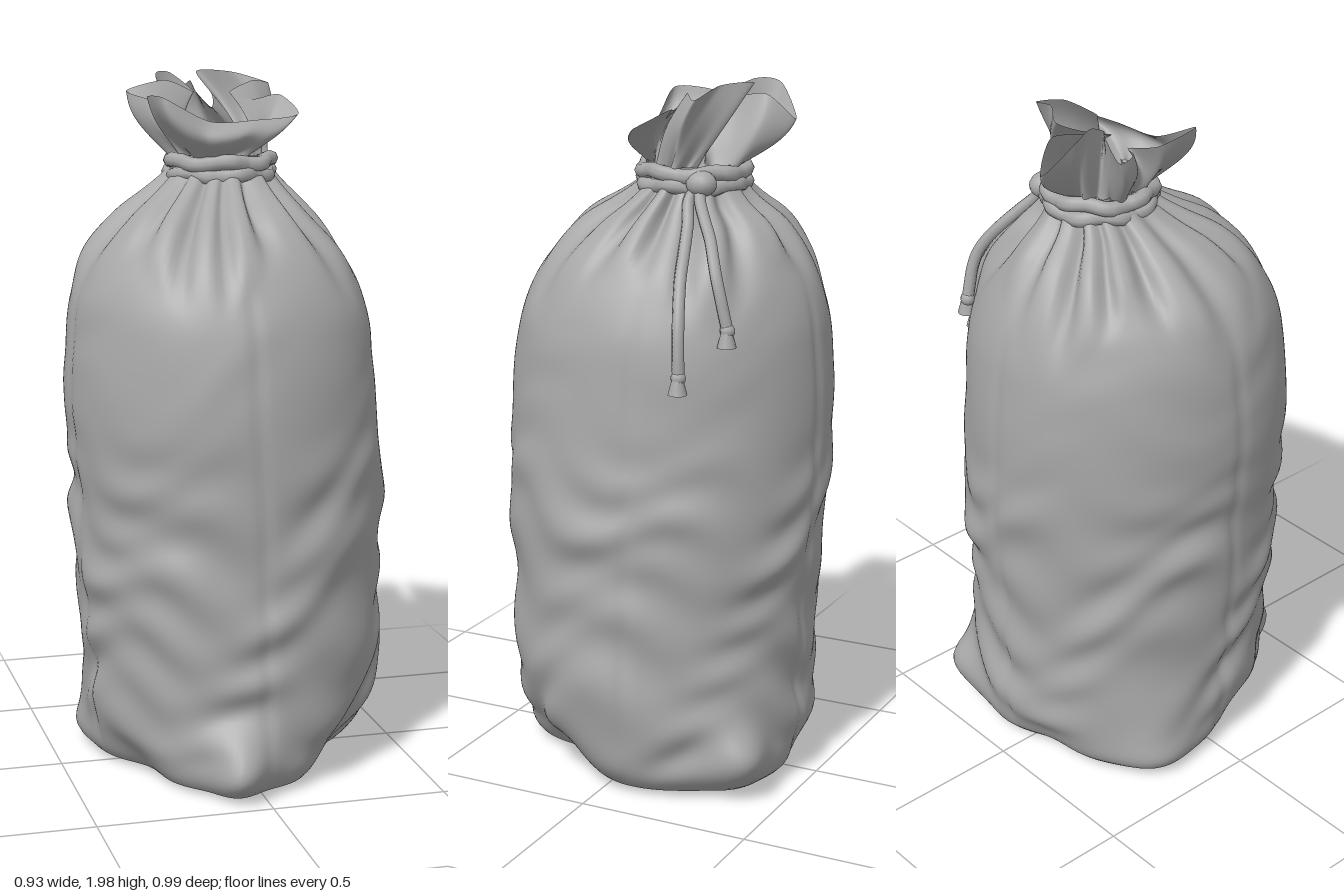
import * as THREE from 'three';

const cloth = new THREE.MeshStandardMaterial({ color: 0xa8a8a8, side: THREE.DoubleSide });
cloth.name = 'grey cloth';

// sack outline: y, xMin, xMax, zMin, zMax
const ROWS = [
  [0, -0.33, 0.33, -0.38, 0.36], [0.02, -0.385, 0.39, -0.435, 0.40], [0.09, -0.41, 0.435, -0.46, 0.42],
  [0.3, -0.415, 0.45, -0.455, 0.42], [0.5, -0.43, 0.45, -0.465, 0.425], [0.8, -0.445, 0.45, -0.485, 0.435],
  [1.1, -0.463, 0.43, -0.488, 0.44], [1.3, -0.45, 0.41, -0.475, 0.415], [1.4, -0.43, 0.38, -0.45, 0.38],
  [1.5, -0.38, 0.325, -0.405, 0.315], [1.6, -0.28, 0.23, -0.335, 0.21], [1.66, -0.2, 0.18, -0.27, 0.11],
  [1.72, -0.135, 0.145, -0.235, 0.035], [1.76, -0.125, 0.135, -0.225, 0.025],
];
// bottom corners pulled out and sides drawn in: angle, height, reach, angular width, vertical spread
const CORNERS = [
  [-0.2, 0.08, 0.09, 0.17, 0.09], [2.48, 0.13, 0.08, 0.2, 0.1], [-2.03, 0.06, 0.05, 0.25, 0.09],
  [0.95, 0, -0.14, 0.5, 0.16], [-1.1, 0, -0.08, 0.38, 0.14], [-2.9, 0, -0.06, 0.35, 0.12],
];
const SEAMS = [-0.02, 1.75, 3.1, -1.5];

const smooth = THREE.MathUtils.smoothstep;
const bump = (d, w) => Math.exp(-(d * d) / (w * w));
const turn = (d) => Math.atan2(Math.sin(d), Math.cos(d));

function outline(y) {
  let i = 0;
  while (i < ROWS.length - 2 && y > ROWS[i + 1][0]) i++;
  const a = ROWS[Math.max(i - 1, 0)], b = ROWS[i], c = ROWS[i + 1], d = ROWS[Math.min(i + 2, ROWS.length - 1)];
  const h = c[0] - b[0], t = THREE.MathUtils.clamp((y - b[0]) / h, 0, 1);
  return [1, 2, 3, 4].map((k) => {
    const m0 = (c[k] - a[k]) / (c[0] - a[0]) * h, m1 = (d[k] - b[k]) / (d[0] - b[0]) * h;
    return b[k] * (2 * t ** 3 - 3 * t * t + 1) + m0 * (t ** 3 - 2 * t * t + t)
      + c[k] * (3 * t * t - 2 * t ** 3) + m1 * (t ** 3 - t * t);
  });
}

// point on the sack; angle 0 is the front and grows towards +x
function sackPoint(a, y, lift = 0) {
  const [x0, x1, z0, z1] = outline(y);
  // gathered pleats below the neck, with narrow valleys
  const wave = Math.sin(14 * a + 1.5 * Math.sin(3 * a + 1));
  const fold = 0.65 - 1.5 * ((1 - wave) / 2) ** 2 + 0.3 * Math.sin(8 * a + 2);
  const reach = 1.4 + 0.08 * Math.sin(5 * a);
  let r = lift + fold * 0.033 * smooth(y, reach, 1.6) * (1 - 0.65 * smooth(y, 1.62, 1.72));
  // slanted creases in the lower half
  const low = smooth(y, 0.02, 0.15) * (1 - 0.85 * smooth(y, 0.8, 1.1));
  const warp = 1.6 * Math.sin(2 * a + 3 * y) + Math.sin(5 * a - 7 * y);
  r += 0.01 * low * (Math.sin(19 * y + 2 * a + warp) * Math.sin(3 * a + 9 * y)
    + 0.7 * Math.sin(29 * y - 3 * a + 1.5 * warp) * Math.sin(2 * a - 7 * y + 1));
  // sewn seams
  for (const s of SEAMS) r -= 0.006 * bump(turn(a - s), 0.04) * smooth(y, 0, 0.1) * (1 - smooth(y, 1.3, 1.5));
  for (const [ca, cy, d, w, h] of CORNERS) r += d * bump(turn(a - ca), w) * bump(y - cy, h);
  return new THREE.Vector3(
    (x0 + x1) / 2 + ((x1 - x0) / 2 + r) * Math.sin(a), y,
    (z0 + z1) / 2 + ((z1 - z0) / 2 + r) * Math.cos(a));
}

// skin over closed rings, rows running upwards, with a fan closing the first ring
function loft(rows, cols, point, capCentre) {
  const pos = [], idx = [];
  for (let j = 0; j <= rows; j++) for (let i = 0; i < cols; i++) pos.push(...point(i / cols, j / rows).toArray());
  for (let j = 0; j < rows; j++) for (let i = 0; i < cols; i++) {
    const k = (i + 1) % cols, a = j * cols + i, b = j * cols + k;
    idx.push(a, b, b + cols, a, b + cols, a + cols);
  }
  const n = pos.length / 3;
  pos.push(...capCentre);
  for (let i = 0; i < cols; i++) idx.push(n, (i + 1) % cols, i);
  const g = new THREE.BufferGeometry();
  g.setAttribute('position', new THREE.Float32BufferAttribute(pos, 3));
  g.setIndex(idx);
  g.computeVertexNormals();
  return g;
}

// ruffled rim of the open mouth, folded in towards the middle
const RIM = new THREE.CatmullRomCurve3([
  [-0.2, 1.93, 0.06], [-0.06, 1.86, 0.045], [0.08, 1.86, 0.025], [0.215, 1.87, -0.02], [0.185, 1.92, -0.11],
  [0.1, 1.91, -0.085], [0.03, 1.93, -0.085], [0.11, 1.96, -0.13], [0.17, 1.95, -0.18], [0.07, 1.98, -0.21],
  [-0.02, 1.98, -0.27], [0, 1.92, -0.17], [-0.025, 1.89, -0.08], [-0.045, 1.93, -0.19], [-0.035, 1.95, -0.3],
  [-0.08, 1.88, -0.37], [-0.135, 1.97, -0.3], [-0.11, 1.98, -0.23], [-0.06, 1.93, -0.14], [-0.13, 1.96, -0.2],
  [-0.235, 1.93, -0.24], [-0.19, 1.91, -0.15], [-0.1, 1.88, -0.09], [-0.21, 1.92, -0.08],
].map((p) => new THREE.Vector3(...p)), true, 'catmullrom', 0.4);

function createModel() {
  const group = new THREE.Group();
  const add = (name, geometry, parent = group) => {
    const mesh = new THREE.Mesh(geometry, cloth);
    mesh.name = name;
    parent.add(mesh);
    return mesh;
  };

  add('sackBody', loft(110, 180, (u, v) => sackPoint(u * Math.PI * 2, v * 1.76), [0, 0.015, 0]));

  // frill above the tie, swelling out of the gathered throat and up to the rim
  add('ruffle', loft(16, 230, (u, v) => {
    const a = u * Math.PI * 2 - 0.75;
    const q = RIM.getPoint(u), p = sackPoint(a, 1.74);
    const gather = 0.012 * Math.sin(9 * a) - 0.012;
    const swell = 0.024 + 0.035 * bump(turn(a + 0.35), 0.35);
    const belly = Math.sin(v ** 1.3 * Math.PI) * swell + gather * (1 - v);
    const t = v ** 0.9;
    return new THREE.Vector3(
      p.x + (q.x - p.x) * t + belly * Math.sin(a),
      p.y + (q.y - p.y) * v,
      p.z + (q.z - p.z) * t + belly * Math.cos(a));
  }, [0, 1.78, -0.1]));

  // two turns of drawstring round the neck
  const tie = new THREE.Group();
  tie.name = 'drawstring';
  group.add(tie);
  for (const [y, phase] of [[1.705, 0], [1.74, 2]]) {
    const pts = [];
    for (let i = 0; i < 40; i++) {
      const a = i / 40 * Math.PI * 2;
      const r = 0.141 + 0.005 * Math.sin(9 * a + phase);
      pts.push(new THREE.Vector3(0.005 + r * Math.sin(a), y + 0.005 * Math.sin(5 * a + phase), -0.1 + r * Math.cos(a)));
    }
    add('neckCord', new THREE.TubeGeometry(new THREE.CatmullRomCurve3(pts, true), 120, 0.022, 8, true), tie);
  }
  const knot = add('knot', new THREE.SphereGeometry(0.04, 14, 10), tie);
  knot.position.set(0.135, 1.72, -0.185);
  knot.scale.set(1, 0.9, 1.1);

  // hanging ends: start angle, end angle, end height
  for (const [a0, a1, yEnd] of [[2.0, 2.04, 1.24], [2.15, 2.33, 1.36]]) {
    const pts = [new THREE.Vector3(0.135, 1.72, -0.185)];
    for (let i = 0; i <= 7; i++) {
      const t = i / 7;
      pts.push(sackPoint(a0 + (a1 - a0) * t, 1.68 + (yEnd - 1.68) * t, 0.018 + 0.01 * Math.sin(t * Math.PI)));
    }
    const end = pts[pts.length - 1];
    add('hangingCord', new THREE.TubeGeometry(new THREE.CatmullRomCurve3(pts), 50, 0.017, 8), tie);
    const ball = add('cordEndKnot', new THREE.SphereGeometry(0.021, 10, 8), tie);
    ball.position.copy(end);
    const tassel = add('cordTassel', new THREE.CylinderGeometry(0.015, 0.027, 0.045, 10), tie);
    tassel.position.set(end.x + 0.004, end.y - 0.022, end.z);
  }
  return group;
}

export { createModel };
